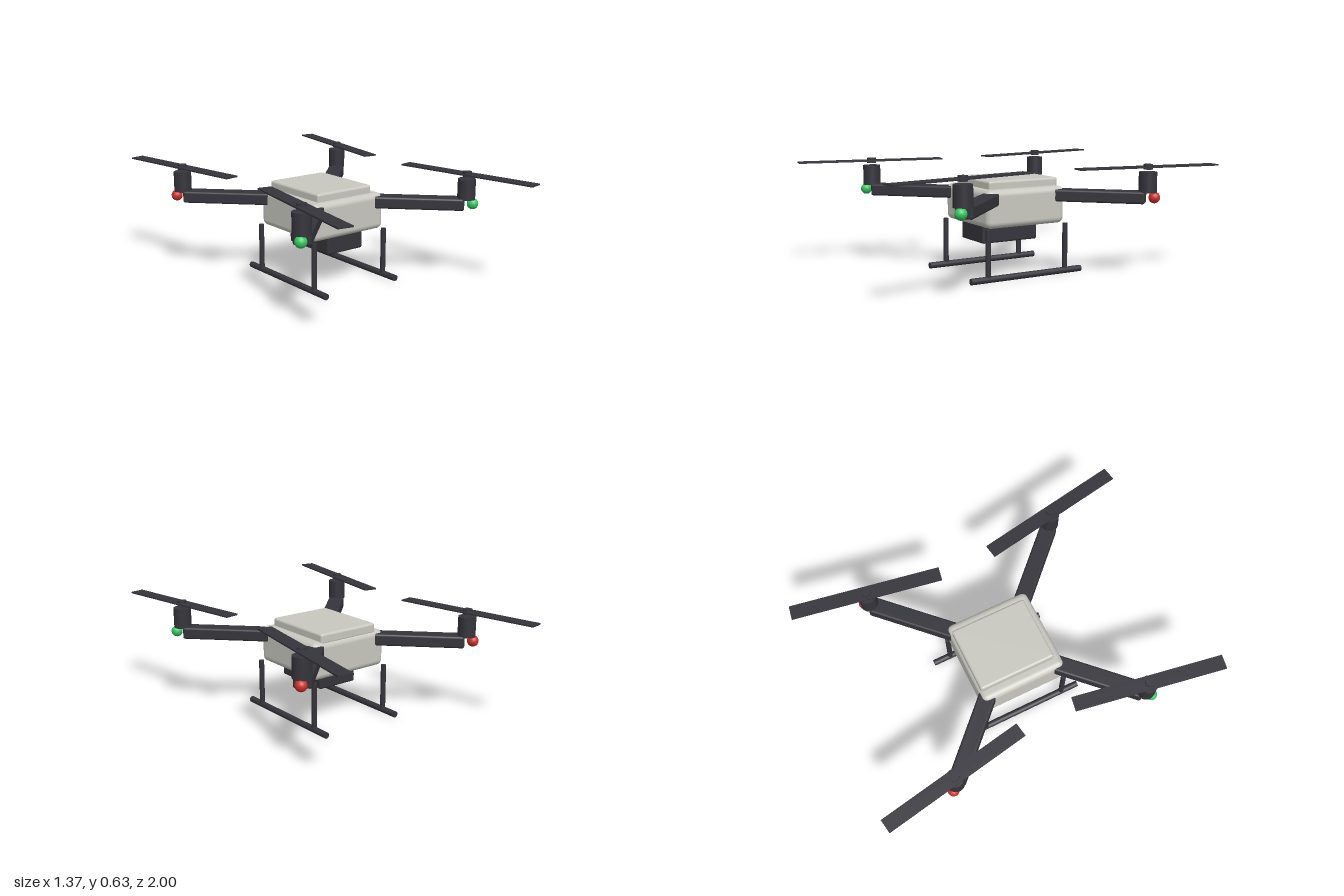
import * as THREE from 'three';
import { RoundedBoxGeometry } from 'three/addons/geometries/RoundedBoxGeometry.js';

function material(name, color) {
  const m = new THREE.MeshStandardMaterial({ color });
  m.name = name;
  return m;
}

export function createModel() {
  const shell = material('shell grey', 0xc8c8c0);
  const dark = material('dark plastic', 0x34343b);
  const green = material('green light', 0x35c860);
  const red = material('red light', 0xd0302a);

  const model = new THREE.Group();
  model.name = 'quadcopter';

  function add(parent, name, geometry, mat, x, y, z) {
    const mesh = new THREE.Mesh(geometry, mat);
    mesh.name = name;
    mesh.position.set(x, y, z);
    parent.add(mesh);
    return mesh;
  }

  // Body, lid and the box slung beneath it
  add(model, 'body', new RoundedBoxGeometry(0.5, 0.21, 0.5, 4, 0.035), shell, 0, 0.395, 0);
  add(model, 'lid', new RoundedBoxGeometry(0.38, 0.06, 0.445, 3, 0.014), shell, 0, 0.515, -0.015);
  add(model, 'battery', new RoundedBoxGeometry(0.25, 0.12, 0.355, 3, 0.012), dark, 0, 0.25, 0.035);

  // Landing gear: two skids, each on two posts
  const post = new THREE.CylinderGeometry(0.015, 0.015, 0.27, 16);
  const skid = new THREE.CylinderGeometry(0.018, 0.018, 0.715, 16).rotateX(Math.PI / 2);
  for (const sx of [1, -1]) {
    const gear = new THREE.Group();
    gear.name = sx > 0 ? 'leftLandingGear' : 'rightLandingGear';
    add(gear, 'skid', skid, dark, sx * 0.25, 0.018, 0);
    for (const sz of [1, -1]) add(gear, 'post', post, dark, sx * 0.25, 0.155, sz * 0.25);
    model.add(gear);
  }

  // Four arms, each with a motor, a propeller and a light at the tip
  const inner = 0.16, outer = 0.567, hub = 0.574;
  const armMiddle = (inner + outer) / 2;
  const arm = new RoundedBoxGeometry((outer - inner) * Math.SQRT2, 0.068, 0.096, 3, 0.012);
  const motor = new THREE.CylinderGeometry(0.05, 0.05, 0.115, 28);
  const cap = new THREE.CylinderGeometry(0.026, 0.026, 0.029, 20);
  const blade = new THREE.BoxGeometry(0.08, 0.008, 0.85);
  const lamp = new THREE.SphereGeometry(0.032, 20, 14);
  const bladeAngle = THREE.MathUtils.degToRad(10);

  for (const sx of [1, -1]) {
    for (const sz of [1, -1]) {
      const rotor = new THREE.Group();
      rotor.name = (sz > 0 ? 'front' : 'back') + (sx > 0 ? 'Left' : 'Right') + 'Rotor';
      add(rotor, 'arm', arm, dark, sx * armMiddle, 0.449, sz * armMiddle)
        .rotation.y = Math.atan2(-sz, sx);
      add(rotor, 'motor', motor, dark, sx * hub, 0.5335, sz * hub);
      add(rotor, 'propellerHub', cap, dark, sx * hub, 0.6185, sz * hub);
      add(rotor, 'propeller', blade, dark, sx * hub, 0.618, sz * hub)
        .rotation.y = sx * sz * bladeAngle;
      add(rotor, 'navigationLight', lamp, sz > 0 ? green : red, sx * 0.6, 0.45, sz * 0.6);
      model.add(rotor);
    }
  }

  return model;
}
